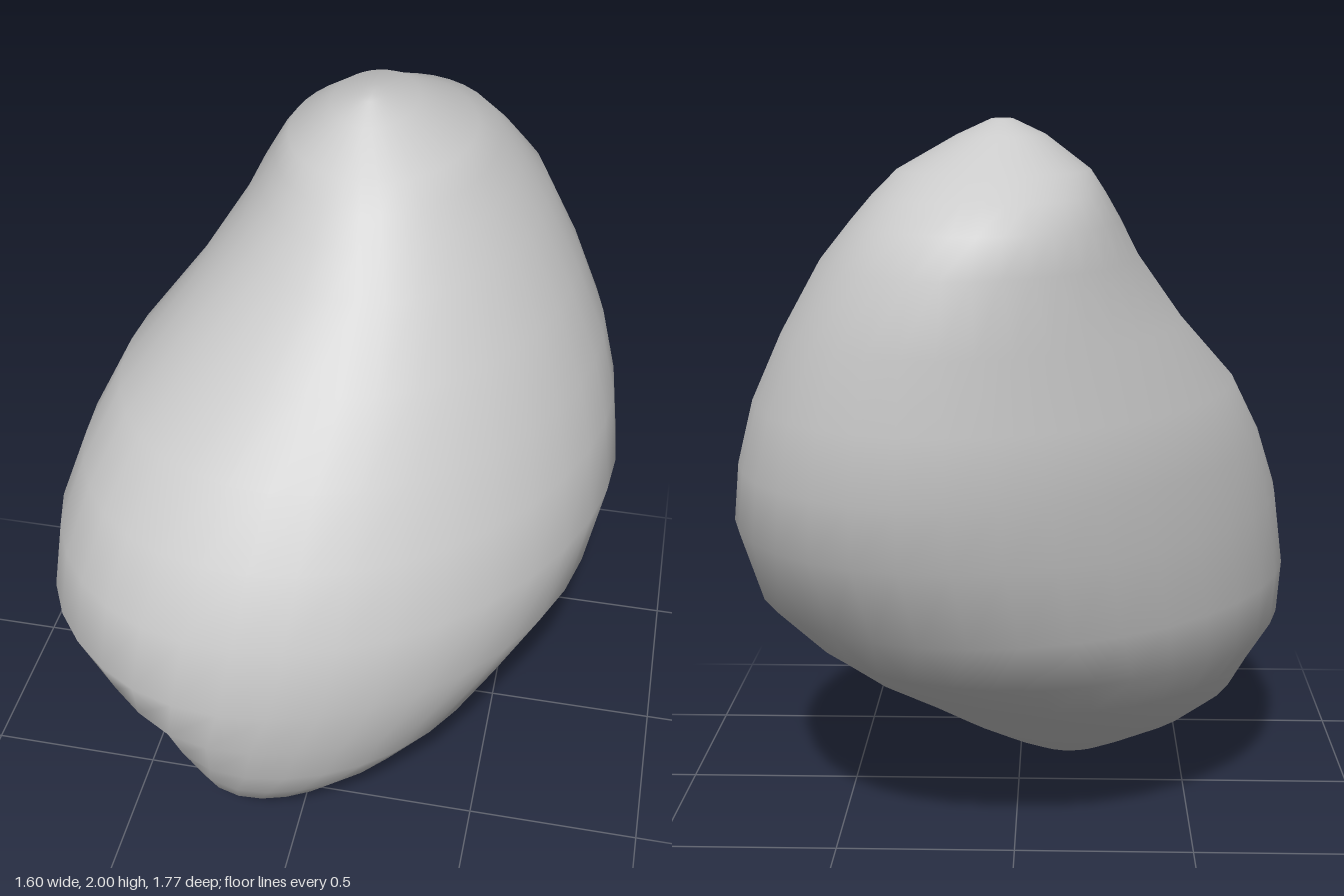
import * as THREE from 'three';

// Cross-sections of the stone: [y, xMin, xMax, zMin, zMax, skew]
// Negative skew leans the oval towards the front-left / back-right diagonal.
const SECTIONS = [
  [0.0, -0.2, -0.06, 0.25, 0.43, -0.05],
  [0.03, -0.32, 0.0, 0.15, 0.54, -0.05],
  [0.1, -0.43, 0.11, 0.0, 0.66, -0.05],
  [0.18, -0.57, 0.25, -0.14, 0.74, -0.03],
  [0.28, -0.67, 0.38, -0.3, 0.8, -0.03],
  [0.4, -0.72, 0.52, -0.49, 0.85, -0.07],
  [0.52, -0.79, 0.63, -0.63, 0.87, -0.13],
  [0.68, -0.8, 0.75, -0.76, 0.89, -0.18],
  [0.9, -0.77, 0.8, -0.83, 0.86, -0.21],
  [1.08, -0.71, 0.77, -0.88, 0.76, -0.22],
  [1.26, -0.62, 0.72, -0.88, 0.63, -0.2],
  [1.45, -0.46, 0.63, -0.87, 0.45, -0.16],
  [1.64, -0.33, 0.52, -0.86, 0.27, -0.1],
  [1.74, -0.28, 0.44, -0.8, 0.18, -0.06],
  [1.81, -0.24, 0.38, -0.73, 0.11, -0.04],
  [1.87, -0.2, 0.32, -0.6, 0.05, -0.02],
  [1.96, -0.08, 0.16, -0.43, -0.08, 0.0],
  [2.0, 0.01, 0.07, -0.26, -0.15, 0.0],
];
const SIDES = 36;

// Shallow hollow low on the front
const HOLLOW = new THREE.Vector3(-0.51, 0.31, 0.62);
const INWARD = new THREE.Vector3(0.55, 0.4, -0.7).normalize();

function pressHollow(p) {
  const d = p.distanceTo(HOLLOW) / 0.28;
  return p.addScaledVector(INWARD, 0.1 * Math.exp(-(d ** 3)));
}

function stoneGeometry() {
  const points = [];
  const index = [];
  SECTIONS.forEach(([y, x0, x1, z0, z1, skew]) => {
    for (let j = 0; j < SIDES; j++) {
      const t = (j / SIDES) * Math.PI * 2;
      points.push(pressHollow(new THREE.Vector3(
        (x0 + x1) / 2 + ((x1 - x0) / 2) * Math.cos(t),
        y,
        (z0 + z1) / 2 + ((z1 - z0) / 2) * Math.sin(t + skew),
      )));
    }
  });
  // Skin between neighbouring sections
  const last = SECTIONS.length - 1;
  for (let i = 0; i < last; i++) {
    for (let j = 0; j < SIDES; j++) {
      const k = (j + 1) % SIDES;
      const a = i * SIDES + j, b = i * SIDES + k;
      const c = a + SIDES, d = b + SIDES;
      index.push(a, c, b, b, c, d);
    }
  }
  // Close the bottom and the top
  for (const row of [0, last]) {
    const [y, x0, x1, z0, z1] = SECTIONS[row];
    const pole = points.push(new THREE.Vector3((x0 + x1) / 2, y, (z0 + z1) / 2)) - 1;
    for (let j = 0; j < SIDES; j++) {
      const a = row * SIDES + j, b = row * SIDES + ((j + 1) % SIDES);
      if (row === 0) index.push(pole, a, b);
      else index.push(pole, b, a);
    }
  }
  const geometry = new THREE.BufferGeometry().setFromPoints(points);
  geometry.setIndex(index);
  geometry.computeVertexNormals();
  return geometry;
}

export function createModel() {
  const group = new THREE.Group();
  group.name = 'rock';
  const stone = new THREE.Mesh(stoneGeometry(), new THREE.MeshStandardMaterial({ color: 0xcccccc }));
  stone.name = 'stone';
  group.add(stone);
  return group;
}
